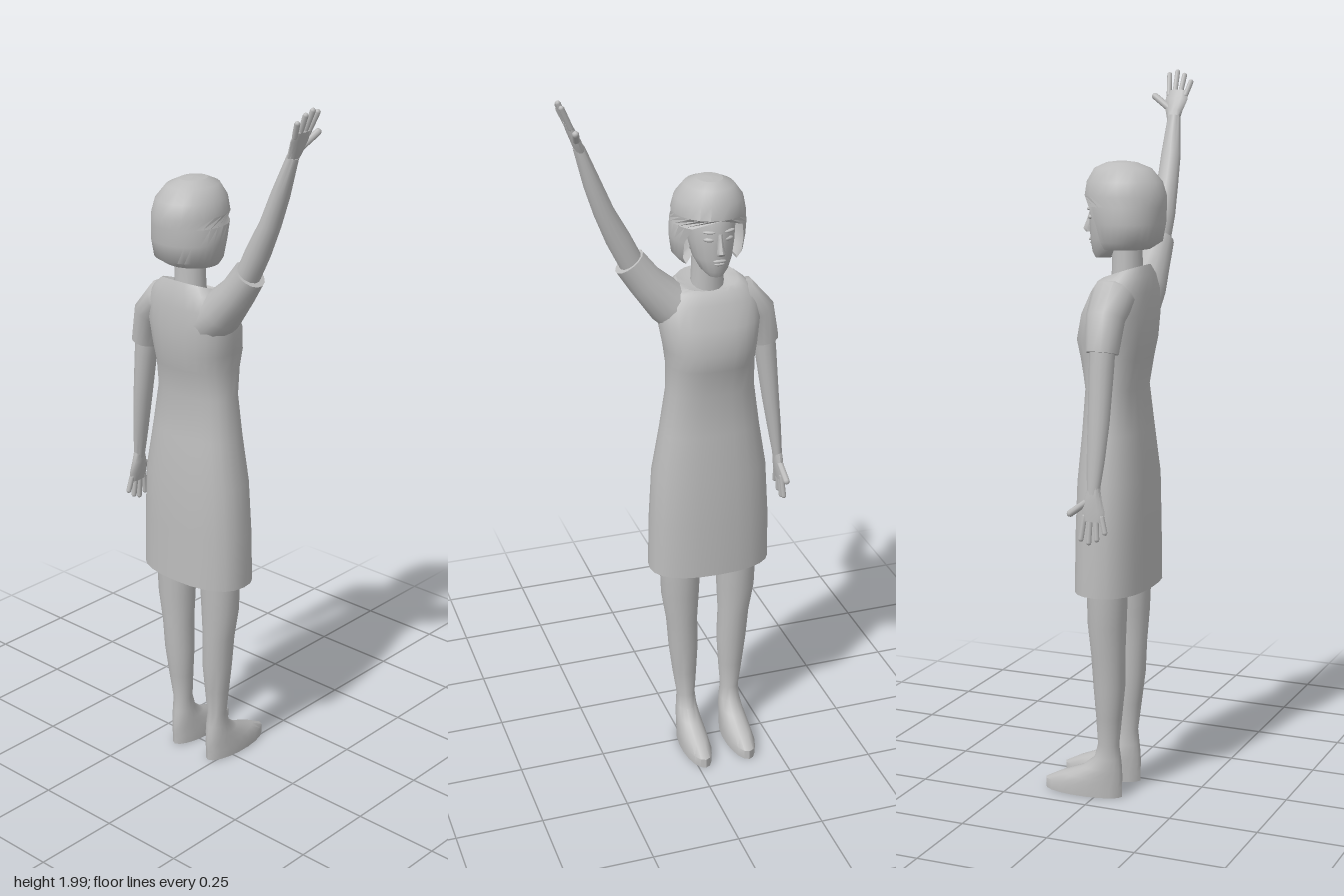
import * as THREE from 'three';
import { toCreasedNormals } from 'three/addons/utils/BufferGeometryUtils.js';

const MID = -0.088; // centre plane of the body in z

// Skin over elliptical rings [x, y, z, radiusX, radiusAcross, frontOpening].
// Rings lie flat, or (follow) square to the path in the yz plane.
function loft(rings, { sides = 18, follow = false, power = 2, caps = true } = {}) {
  const pos = [], index = [], row = sides + 1;
  const bend = (c) => Math.sign(c) * Math.abs(c) ** (2 / power);
  rings.forEach(([x, y, z, rx, rv, open = 0, tilt = 0], i) => {
    const a = rings[Math.max(i - 1, 0)], b = rings[Math.min(i + 1, rings.length - 1)];
    let ty = 1, tz = 0;
    if (follow) {
      const len = Math.hypot(b[1] - a[1], b[2] - a[2]);
      ty = (b[1] - a[1]) / len;
      tz = (b[2] - a[2]) / len;
    }
    for (let j = 0; j <= sides; j++) {
      const t = open + (j / sides) * (2 * Math.PI - 2 * open);
      const c = bend(Math.cos(t)), s = j === sides && !open ? 0 : bend(Math.sin(t));
      pos.push(x + rx * c, y - tz * rv * s + tilt * c, z + ty * rv * s);
    }
  });
  for (let i = 0; i < rings.length - 1; i++) {
    for (let j = 0; j < sides; j++) {
      const p = i * row + j, q = p + row;
      index.push(p, q, p + 1, p + 1, q, q + 1);
    }
  }
  if (caps) {
    const last = (rings.length - 1) * row, n = pos.length / 3;
    pos.push(...rings[0].slice(0, 3), ...rings[rings.length - 1].slice(0, 3));
    for (let j = 0; j < sides; j++) {
      index.push(n, j, j + 1, n + 1, last + j + 1, last + j);
    }
  }
  const geo = new THREE.BufferGeometry();
  geo.setAttribute('position', new THREE.Float32BufferAttribute(pos, 3));
  geo.setIndex(index);
  return toCreasedNormals(geo, 0.85);
}

export function createModel() {
  const model = new THREE.Group();
  const grey = new THREE.MeshStandardMaterial({ color: 0xbcbcbc, side: THREE.DoubleSide });
  grey.name = 'plain grey';

  const add = (name, geo, parent = model) => {
    const mesh = new THREE.Mesh(geo, grey);
    mesh.name = name;
    parent.add(mesh);
    return mesh;
  };
  const blob = (name, x, y, z, sx, sy, sz) => {
    const mesh = add(name, new THREE.SphereGeometry(1, 12, 8));
    mesh.position.set(x, y, z);
    mesh.scale.set(sx, sy, sz);
    return mesh;
  };

  // Dress, from hem to neckline
  add('dress', loft([
    [-0.034, 0.595, MID, 0.1, 0.177],
    [-0.034, 0.75, MID, 0.098, 0.174],
    [-0.035, 0.9, MID, 0.095, 0.165],
    [-0.033, 1.03, MID, 0.083, 0.143],
    [-0.03, 1.15, MID, 0.073, 0.126],
    [-0.03, 1.23, MID, 0.089, 0.124],
    [-0.03, 1.28, MID, 0.1, 0.13],
    [-0.04, 1.35, MID, 0.093, 0.142],
    [-0.053, 1.41, MID, 0.077, 0.138],
    [-0.057, 1.445, MID, 0.066, 0.112, 0, -0.008],
    [-0.057, 1.462, MID, 0.055, 0.085, 0, -0.018],
    [-0.058, 1.455, MID, 0.044, 0.06, 0, -0.018],
  ], { sides: 24, power: 2.4 }));

  // Legs with feet
  for (const [side, s] of [['left', 1], ['right', -1]]) {
    add(side + 'Leg', loft([
      [0.045, 0, MID + s * 0.068, 0.116, 0.04],
      [0.045, 0.028, MID + s * 0.068, 0.116, 0.041],
      [0.022, 0.052, MID + s * 0.068, 0.094, 0.038],
      [-0.012, 0.08, MID + s * 0.068, 0.058, 0.034],
      [-0.028, 0.11, MID + s * 0.068, 0.038, 0.03],
      [-0.031, 0.15, MID + s * 0.069, 0.03, 0.027],
      [-0.034, 0.23, MID + s * 0.072, 0.036, 0.036],
      [-0.036, 0.32, MID + s * 0.075, 0.044, 0.044],
      [-0.035, 0.41, MID + s * 0.08, 0.047, 0.046],
      [-0.034, 0.5, MID + s * 0.085, 0.053, 0.056],
      [-0.035, 0.66, MID + s * 0.085, 0.058, 0.062],
    ]));
  }

  // Sleeves and arms: one raised, one hanging
  const limb = { follow: true, sides: 14 };
  add('raisedSleeve', loft([
    [-0.055, 1.36, -0.03, 0.07, 0.066],
    [-0.058, 1.41, 0.03, 0.062, 0.062],
    [-0.06, 1.47, 0.085, 0.05, 0.05],
    [-0.062, 1.532, 0.13, 0.042, 0.046],
  ], limb));
  add('raisedArm', loft([
    [-0.062, 1.5, 0.11, 0.034, 0.034],
    [-0.062, 1.6, 0.16, 0.034, 0.034],
    [-0.06, 1.68, 0.198, 0.03, 0.028],
    [-0.058, 1.76, 0.228, 0.028, 0.024],
    [-0.053, 1.865, 0.264, 0.018, 0.015],
  ], limb));
  add('hangingSleeve', loft([
    [-0.055, 1.4, -0.13, 0.06, 0.048],
    [-0.057, 1.395, -0.19, 0.06, 0.056],
    [-0.057, 1.35, -0.235, 0.053, 0.048],
    [-0.057, 1.26, -0.258, 0.045, 0.039],
  ], limb));
  add('hangingArm', loft([
    [-0.057, 1.3, -0.252, 0.035, 0.032],
    [-0.057, 1.22, -0.262, 0.034, 0.03],
    [-0.056, 1.08, -0.279, 0.03, 0.024],
    [-0.053, 0.98, -0.292, 0.025, 0.019],
    [-0.05, 0.89, -0.303, 0.017, 0.013],
  ], limb));

  // Hands: palm, four fanned fingers and a thumb towards the front
  const hand = (name, y, z, angle) => {
    const group = new THREE.Group();
    group.name = name;
    add('palm', loft([
      [0, -0.01, 0, 0.017, 0.013],
      [0.002, 0.02, 0, 0.025, 0.013],
      [0, 0.055, 0, 0.033, 0.011],
      [0, 0.082, 0, 0.03, 0.008],
    ], { sides: 12 }), group);
    const digit = (part, x0, y0, x1, y1, r) => {
      const len = Math.hypot(x1 - x0, y1 - y0);
      const mesh = add(part, new THREE.CapsuleGeometry(r, len - r, 3, 8), group);
      mesh.position.set((x0 + x1) / 2, (y0 + y1) / 2, 0);
      mesh.rotation.z = -Math.atan2(x1 - x0, y1 - y0);
    };
    [0.112, 0.132, 0.142, 0.134].forEach((tip, i) =>
      digit('finger', -0.024 + i * 0.016, 0.065, -0.036 + i * 0.023, tip, 0.0075));
    digit('thumb', 0.012, 0.025, 0.07, 0.068, 0.0095);
    group.position.set(-0.052, y, z);
    group.rotation.x = angle;
    model.add(group);
  };
  hand('raisedHand', 1.86, 0.262, 0.41);
  hand('hangingHand', 0.9, -0.302, Math.PI + 0.09);

  // Neck and head
  add('neck', loft([
    [-0.06, 1.4, MID, 0.046, 0.052],
    [-0.058, 1.47, MID, 0.041, 0.045],
    [-0.056, 1.57, MID, 0.041, 0.042],
  ], { sides: 14 }));
  add('head', loft([
    [0.012, 1.496, MID, 0.022, 0.02],
    [-0.005, 1.512, MID, 0.046, 0.037],
    [-0.022, 1.545, MID, 0.068, 0.053],
    [-0.033, 1.59, MID, 0.081, 0.062],
    [-0.038, 1.64, MID, 0.087, 0.066],
    [-0.042, 1.69, MID, 0.075, 0.06],
    [-0.045, 1.72, MID, 0.04, 0.035],
  ]));

  // Face
  add('nose', loft([
    [0.052, 1.564, MID, 0.01, 0.012],
    [0.056, 1.572, MID, 0.015, 0.012],
    [0.05, 1.592, MID, 0.012, 0.008],
    [0.045, 1.622, MID, 0.006, 0.006],
  ], { sides: 8 }));
  blob('upperLip', 0.044, 1.545, MID, 0.007, 0.005, 0.019);
  blob('lowerLip', 0.042, 1.536, MID, 0.007, 0.005, 0.015);
  for (const s of [1, -1]) {
    blob('eye', 0.037, 1.605, MID + s * 0.028, 0.007, 0.006, 0.015).rotation.y = s * -0.45;
    blob('brow', 0.04, 1.627, MID + s * 0.029, 0.007, 0.004, 0.018).rotation.y = s * -0.45;
  }

  // Bobbed hair, open around the face below the fringe
  add('hair', loft([
    [-0.05, 1.55, MID, 0.05, 0.05, 1.2],
    [-0.05, 1.522, MID, 0.07, 0.078, 1.15],
    [-0.062, 1.542, MID, 0.09, 0.097, 1.02],
    [-0.061, 1.59, MID, 0.1, 0.104, 0.93],
    [-0.055, 1.635, MID, 0.109, 0.103, 0.75],
    [-0.053, 1.662, MID, 0.112, 0.1],
    [-0.05, 1.7, MID, 0.103, 0.092],
    [-0.045, 1.735, MID, 0.078, 0.066],
    [-0.042, 1.75, MID, 0.042, 0.035],
  ], { sides: 22, caps: false }));
  add('crown', loft([
    [-0.042, 1.75, MID, 0.042, 0.035],
    [-0.042, 1.754, MID, 0.01, 0.01],
  ], { sides: 22 }));

  return model;
}
